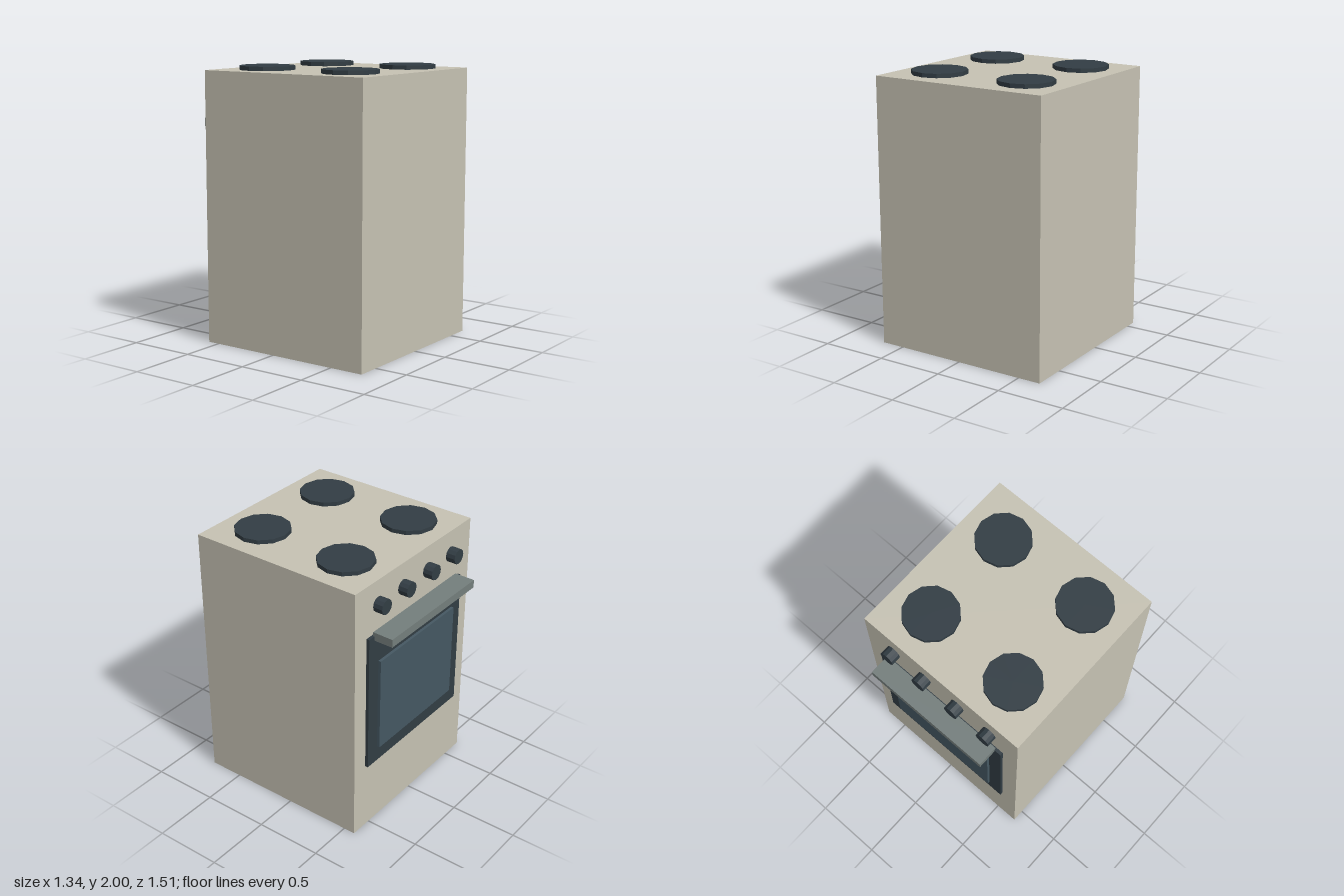
import * as THREE from 'three';

const paint = (color) => new THREE.MeshStandardMaterial({ color, flatShading: true });

export function createModel() {
  const stove = new THREE.Group();
  stove.name = 'stove';

  const enamel = paint(0xc6c2b3);
  const iron = paint(0x323d44);
  const glass = paint(0x455862);
  const steel = paint(0x747e7c);

  const add = (name, geometry, material, x, y, z) => {
    const mesh = new THREE.Mesh(geometry, material);
    mesh.name = name;
    mesh.position.set(x, y, z);
    stove.add(mesh);
    return mesh;
  };

  // Box given by its width (centred on x) and its y and z extents
  const addBox = (name, material, width, y0, y1, z0, z1) =>
    add(name, new THREE.BoxGeometry(width, y1 - y0, z1 - z0), material, 0, (y0 + y1) / 2, (z0 + z1) / 2);

  const backZ = -0.588;

  // Cabinet, with the oven door on its -z side
  addBox('body', enamel, 1.34, 0, 1.97, backZ, 0.755);
  addBox('ovenDoor', iron, 1.09, 0.53, 1.58, -0.611, backZ);
  addBox('ovenWindow', glass, 0.88, 0.65, 1.365, -0.632, -0.605);
  addBox('doorHandle', steel, 0.98, 1.55, 1.61, -0.755, -0.6);

  // Four hotplates
  const plate = new THREE.CylinderGeometry(0.2, 0.2, 0.03, 12);
  for (const x of [-0.358, 0.358]) {
    for (const z of [-0.277, 0.44]) add('hotplate', plate, iron, x, 1.985, z);
  }

  // Row of control knobs above the door
  const knob = new THREE.CylinderGeometry(0.055, 0.055, 0.072, 12).rotateX(Math.PI / 2);
  for (const x of [-0.428, -0.148, 0.143, 0.422]) add('knob', knob, iron, x, 1.79, backZ - 0.036);

  return stove;
}
